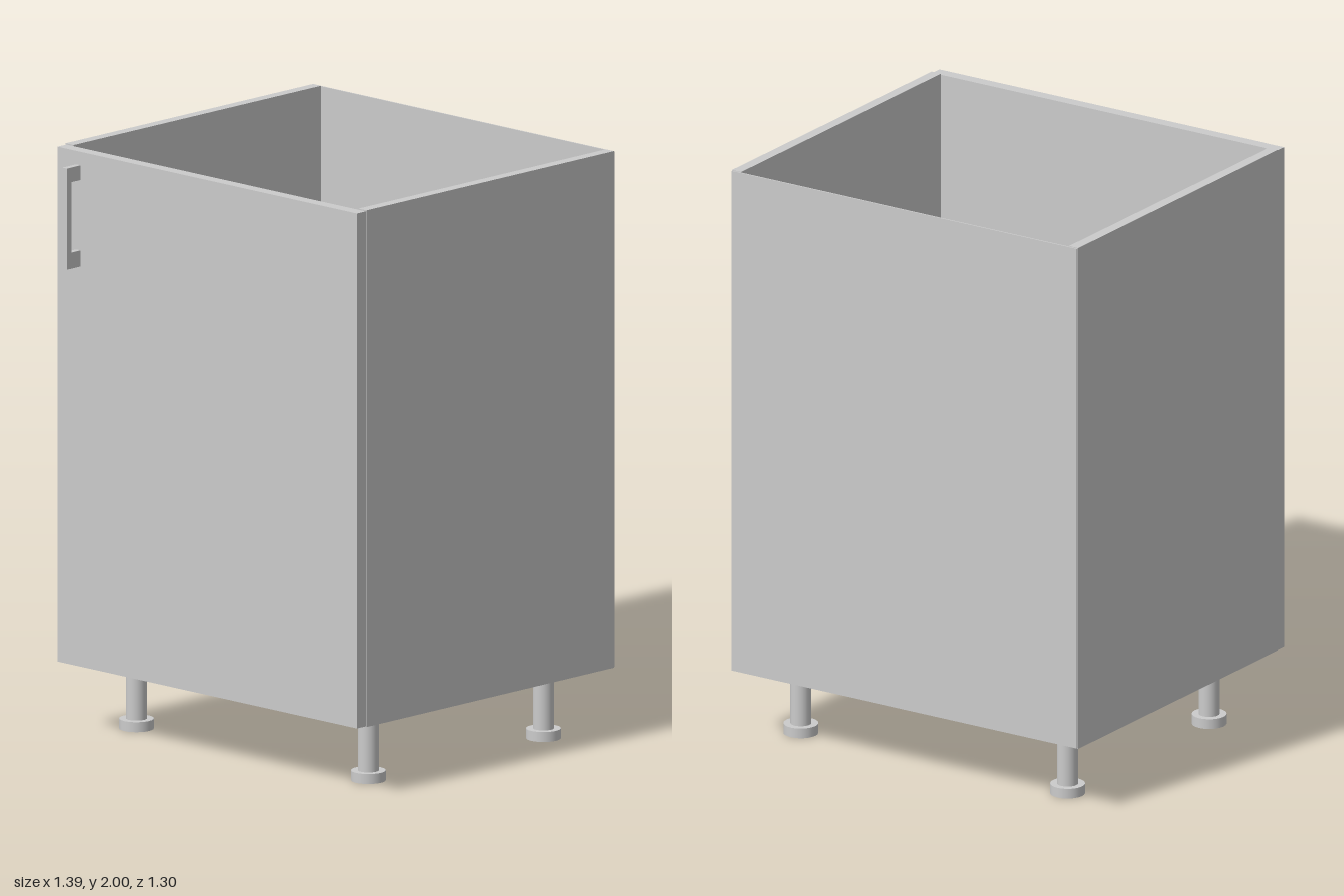
import * as THREE from 'three';

const material = new THREE.MeshStandardMaterial({ color: 0xcccccc });

function add(parent, name, geometry, x = 0, y = 0, z = 0) {
  const mesh = new THREE.Mesh(geometry, material);
  mesh.name = name;
  mesh.position.set(x, y, z);
  parent.add(mesh);
  return mesh;
}

// Box given by its lower and upper corners
function addBox(parent, name, [x0, y0, z0], [x1, y1, z1]) {
  return add(parent, name, new THREE.BoxGeometry(x1 - x0, y1 - y0, z1 - z0),
    (x0 + x1) / 2, (y0 + y1) / 2, (z0 + z1) / 2);
}

export function createModel() {
  const cabinet = new THREE.Group();
  cabinet.name = 'cabinet';

  const bottom = 0.236, top = 2, outer = 0.694, inner = 0.657;
  const back = -0.648, backInner = -0.643, doorBack = 0.54, doorFront = 0.582;

  // Carcass, open at the top
  addBox(cabinet, 'leftSide', [inner, bottom, backInner], [outer, top, doorBack]);
  addBox(cabinet, 'rightSide', [-outer, bottom, backInner], [-inner, top, doorBack]);
  addBox(cabinet, 'floor', [-inner, bottom, backInner], [inner, bottom + 0.037, doorBack]);
  addBox(cabinet, 'backPanel', [-outer + 0.002, bottom + 0.002, back], [outer - 0.002, top - 0.002, backInner]);

  // Door, a touch smaller than the carcass
  addBox(cabinet, 'door', [-outer + 0.003, bottom + 0.002, doorBack], [outer - 0.003, top - 0.004, doorFront]);

  // Bracket handle: a side profile extruded across its width
  const profile = new THREE.Shape([
    [0, 1.605], [0.066, 1.605], [0.066, 1.95], [0, 1.95],
    [0, 1.9], [0.045, 1.9], [0.045, 1.66], [0, 1.66],
  ].map(([z, y]) => new THREE.Vector2(z, y)));
  const handle = new THREE.ExtrudeGeometry(profile, { depth: 0.021, bevelEnabled: false });
  handle.rotateY(-Math.PI / 2);
  add(cabinet, 'handle', handle, -0.584, 0, doorFront);

  // Four legs with round feet
  const post = new THREE.CylinderGeometry(0.035, 0.035, bottom - 0.034, 24);
  const foot = new THREE.CylinderGeometry(0.058, 0.058, 0.034, 24);
  for (const x of [-0.535, 0.535]) {
    for (const z of [-0.471, 0.366]) {
      const leg = new THREE.Group();
      leg.name = 'leg';
      leg.position.set(x, 0, z);
      add(leg, 'legPost', post, 0, (bottom + 0.034) / 2, 0);
      add(leg, 'legFoot', foot, 0, 0.017, 0);
      cabinet.add(leg);
    }
  }
  return cabinet;
}
